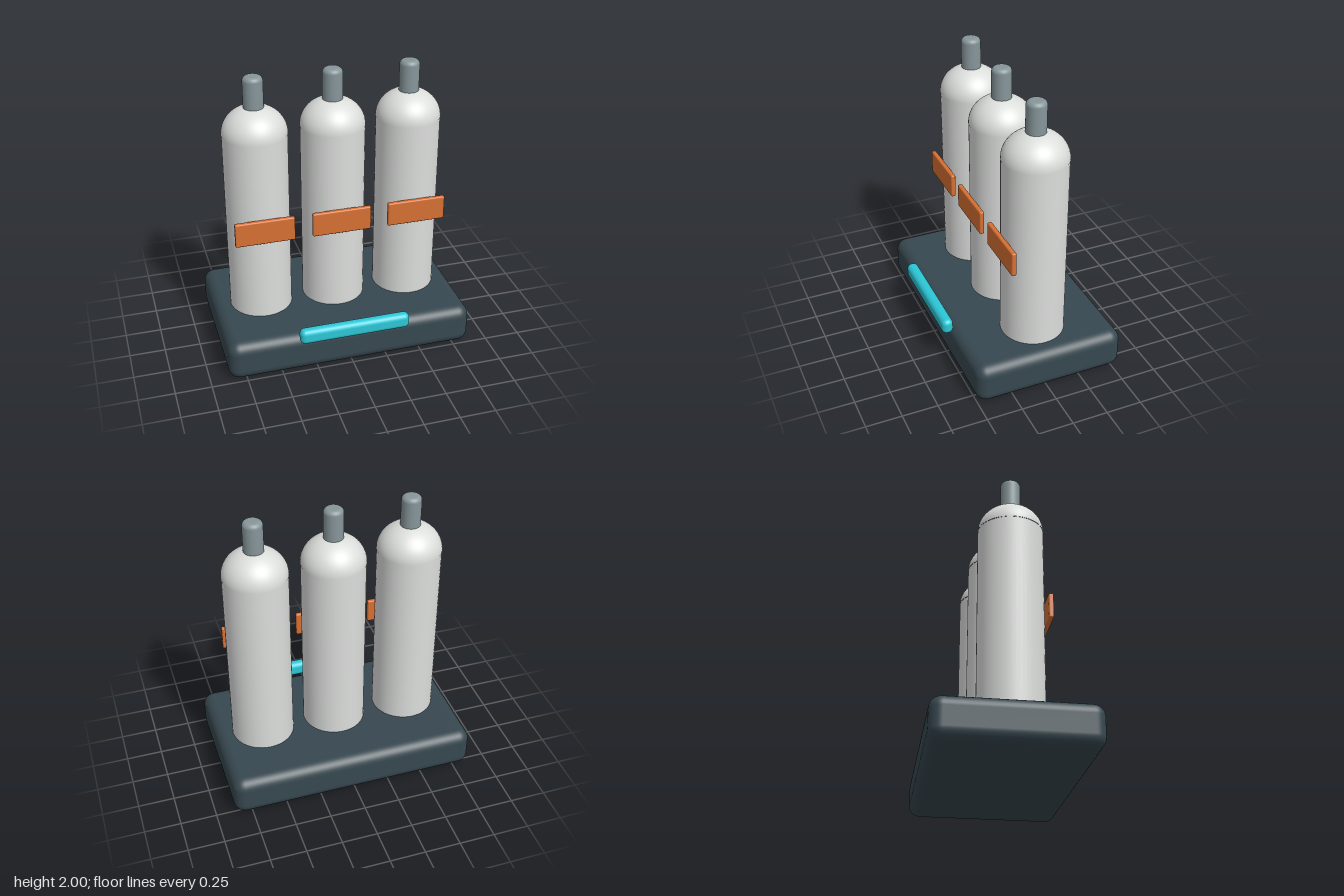
import * as THREE from 'three';
import { RoundedBoxGeometry } from 'three/addons/geometries/RoundedBoxGeometry.js';

const mat = (name, color) => {
  const m = new THREE.MeshStandardMaterial({ color });
  m.name = name;
  return m;
};

export function createModel() {
  const model = new THREE.Group();
  model.name = 'cylinderRack';
  const slate = mat('slate', 0x374850);
  const paleGrey = mat('paleGrey', 0xdcdedc);
  const steel = mat('steel', 0x87969a);
  const orange = mat('orange', 0xd87033);
  const cyan = mat('cyan', 0x2cc8d8);

  const add = (parent, name, geometry, material, x, y, z) => {
    const mesh = new THREE.Mesh(geometry, material);
    mesh.name = name;
    mesh.position.set(x, y, z);
    parent.add(mesh);
    return mesh;
  };

  // Rounded base and the bar at its front edge
  add(model, 'base', new RoundedBoxGeometry(1.74, 0.288, 1.065, 5, 0.08), slate, 0, 0.144, -0.03);
  add(model, 'frontBar', new RoundedBoxGeometry(0.775, 0.11, 0.08, 5, 0.036), cyan, 0, 0.315, 0.527);

  // Shared tank geometry: straight body, flattened dome, round-edged valve, label plate
  const body = new THREE.CylinderGeometry(0.22, 0.22, 1.35, 48);
  const dome = new THREE.SphereGeometry(0.222, 48, 16, 0, Math.PI * 2, 0, Math.PI / 2);
  dome.scale(1, 0.87, 1);
  const valveRadius = 0.068, round = 0.032;
  const profile = [new THREE.Vector2(valveRadius, 1.7)];
  for (let i = 0; i <= 6; i++) {
    const a = (i / 6) * Math.PI / 2;
    profile.push(new THREE.Vector2(
      valveRadius - round + round * Math.cos(a), 2 - round + round * Math.sin(a)));
  }
  profile.push(new THREE.Vector2(0, 2));
  const valve = new THREE.LatheGeometry(profile, 32);
  const label = new RoundedBoxGeometry(0.41, 0.172, 0.034, 3, 0.01);

  // Three tanks in a row
  for (const [name, x] of [['right', -0.533], ['middle', 0], ['left', 0.533]]) {
    const tank = new THREE.Group();
    tank.name = name + 'Tank';
    tank.position.set(x, 0, -0.03);
    add(tank, 'body', body, paleGrey, 0, 0.925, 0);
    add(tank, 'dome', dome, paleGrey, 0, 1.6, 0);
    add(tank, 'valve', valve, steel, 0, 0, 0);
    add(tank, 'label', label, orange, 0, 0.975, 0.229);
    model.add(tank);
  }
  return model;
}
